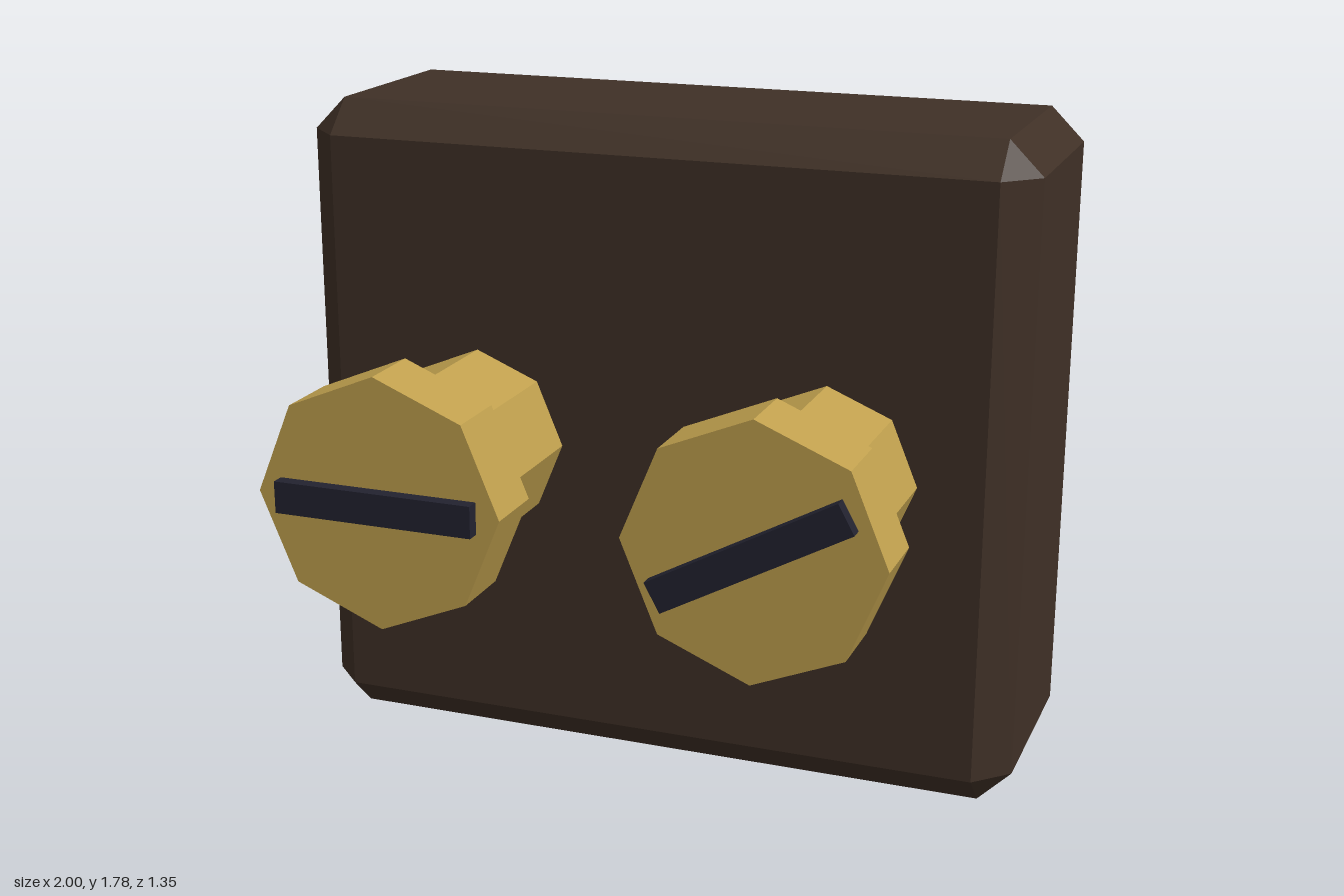
import * as THREE from 'three';
import { ConvexGeometry } from 'three/addons/geometries/ConvexGeometry.js';

const material = (name, color) => {
  const m = new THREE.MeshStandardMaterial({ color, flatShading: true });
  m.name = name;
  return m;
};

// Box with flat chamfers on every edge: each corner becomes three points
function chamferedBox(w, h, d, c) {
  const points = [];
  for (const x of [-w / 2, w / 2])
    for (const y of [-h / 2, h / 2])
      for (const z of [-d / 2, d / 2]) {
        const ix = x - Math.sign(x) * c;
        const iy = y - Math.sign(y) * c;
        const iz = z - Math.sign(z) * c;
        points.push(
          new THREE.Vector3(x, iy, iz),
          new THREE.Vector3(ix, y, iz),
          new THREE.Vector3(ix, iy, z)
        );
      }
  return new ConvexGeometry(points);
}

// Eight-sided rod along z with corners on the x and y axes
function octagonRod(radius, z0, z1) {
  return new THREE.CylinderGeometry(radius, radius, z1 - z0, 8)
    .rotateX(Math.PI / 2)
    .translate(0, 0, (z0 + z1) / 2);
}

export function createModel() {
  const brown = material('dark brown', 0x3f3026);
  const brass = material('brass', 0xc0a04e);
  const black = material('blue black', 0x22222f);

  const model = new THREE.Group();
  model.name = 'blockWithScrews';

  const add = (parent, name, geometry, mat) => {
    const mesh = new THREE.Mesh(geometry, mat);
    mesh.name = name;
    parent.add(mesh);
    return mesh;
  };

  // Chamfered block
  const block = add(model, 'block', chamferedBox(2, 1.78, 0.71, 0.09), brown);
  block.position.set(0, 0.89, -0.32);

  // Two slotted screws standing out of the front face
  for (const [name, x, turn] of [['rightScrew', -0.49, 0], ['leftScrew', 0.49, 0.5]]) {
    const screw = new THREE.Group();
    screw.name = name;
    screw.position.set(x, 0.89, 0);
    add(screw, 'shaft', octagonRod(0.245, 0, 0.47), brass);
    add(screw, 'head', octagonRod(0.333, 0.46, 0.64), brass);
    const slot = add(screw, 'slot', new THREE.BoxGeometry(0.54, 0.084, 0.055), black);
    slot.position.z = 0.6475;
    slot.rotation.z = turn;
    model.add(screw);
  }
  return model;
}
